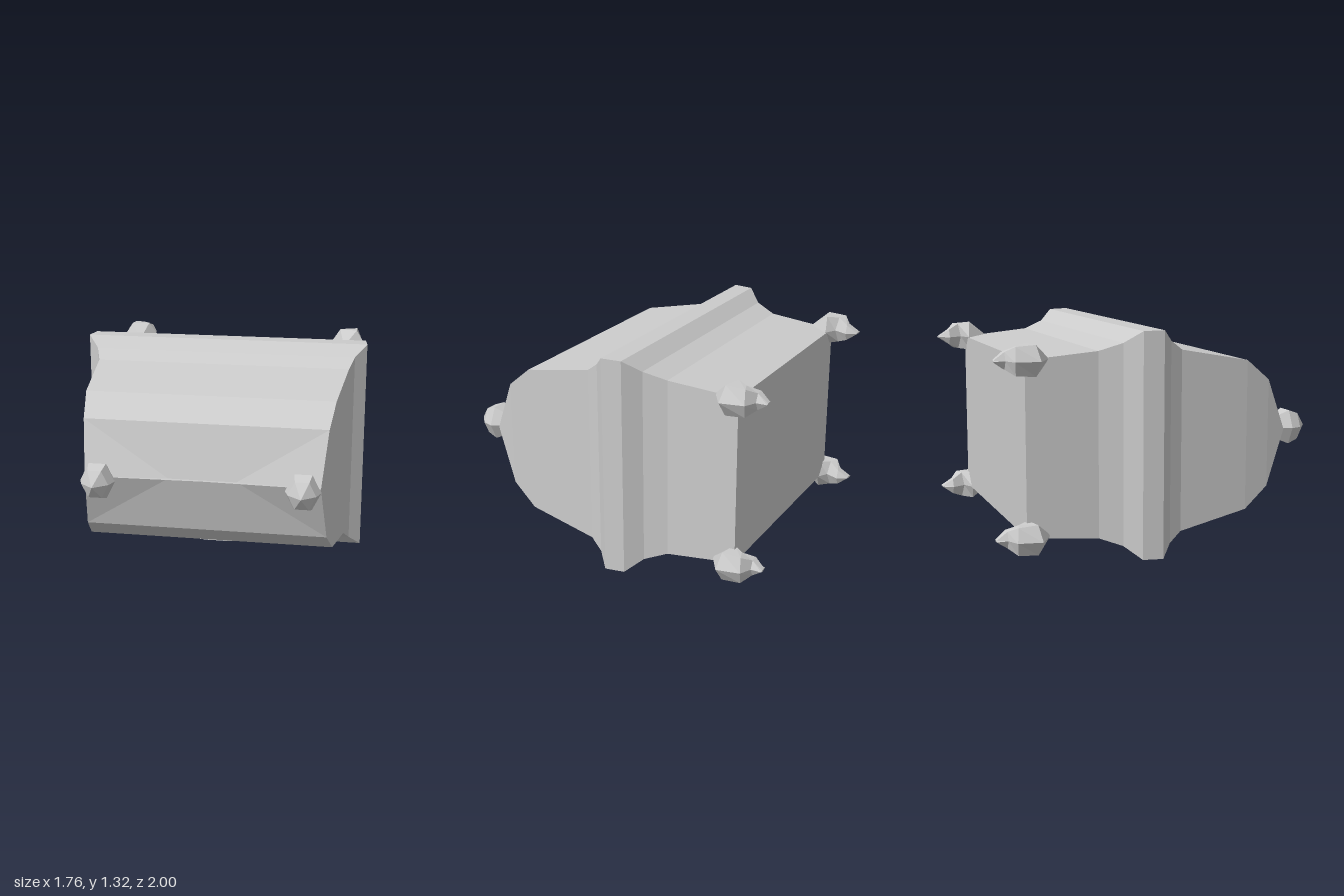
import * as THREE from 'three';

const material = new THREE.MeshStandardMaterial({ color: 0xcccccc, flatShading: true });

// Skin rings of points (ordered along +z, each counterclockwise from +z) and cap both ends
function loft(rings) {
  const n = rings[0].length;
  const pos = [];
  const mid = r => [0, 1, 2].map(k => r.reduce((s, p) => s + p[k], 0) / n);
  const first = rings[0], last = rings[rings.length - 1];
  const c0 = mid(first), c1 = mid(last);
  for (let j = 0; j < n; j++) {
    const k = (j + 1) % n;
    pos.push(...c0, ...first[k], ...first[j]);
    for (let i = 0; i < rings.length - 1; i++) {
      const a = rings[i], b = rings[i + 1];
      pos.push(...a[j], ...a[k], ...b[k], ...a[j], ...b[k], ...b[j]);
    }
    pos.push(...c1, ...last[j], ...last[k]);
  }
  const g = new THREE.BufferGeometry();
  g.setAttribute('position', new THREE.Float32BufferAttribute(pos, 3));
  g.computeVertexNormals();
  return g;
}

// Six-sided ring, tilted in z by hz across its width
function hexRing(cx, cz, hx, hy, hz = 0) {
  return Array.from({ length: 6 }, (_, i) => {
    const c = Math.cos(i * Math.PI / 3), s = Math.sin(i * Math.PI / 3);
    return [cx + hx * c, hy * s / 0.866, cz + hz * c];
  });
}

export function createModel() {
  const group = new THREE.Group();
  const add = (name, geometry, x = 0, y = 0, z = 0) => {
    const mesh = new THREE.Mesh(geometry, material);
    mesh.name = name;
    mesh.position.set(x, y, z);
    group.add(mesh);
    return mesh;
  };

  // Chest body, flange and lid: [z, half width, half height]
  const midY = 0.6575;
  const sections = [
    [-0.82, 0.71, 0.503], [-0.4, 0.735, 0.54], [-0.27, 0.785, 0.585],
    [-0.18, 0.865, 0.655], [-0.06, 0.88, 0.6575], [0.01, 0.81, 0.59],
    [0.09, 0.78, 0.533], [0.53, 0.74, 0.45], [0.685, 0.715, 0.325],
  ];
  const rings = sections.map(([z, w, h]) => [
    [w, midY - h, z], [w, midY + h, z], [w, midY + h, z], [-w, midY + h, z],
    [-w, midY + h, z], [-w, midY - h, z], [-w, midY - h, z], [w, midY - h, z],
  ]);
  // The lid closes in a horizontal ridge, slightly dented in the middle
  const e = [0.685, 0.67, 0.81], m = [0.2, 0.67, 0.77];
  const flip = p => [-p[0], p[1], p[2]];
  rings.push([e, e, m, flip(m), flip(e), flip(e), flip(m), m]);
  add('chest', loft(rings));

  for (const s of [-1, 1]) {
    // Hexagonal knobs on the lid ridge
    add('lidKnob', loft([
      hexRing(0, 0.795, 0.07, 0.07), hexRing(0, 0.87, 0.102, 0.103),
      hexRing(0, 0.935, 0.08, 0.08), hexRing(0, 1.0, 0, 0),
    ]), s * 0.59, 0.67, 0);

    // Claw feet at the back corners: [outer x, outer z, inner x, inner z, half height]
    const claw = [
      [0.74, -1.0, 0.68, -0.997, 0.005], [0.74, -0.935, 0.645, -0.935, 0.048],
      [0.81, -0.9, 0.68, -0.855, 0.08], [0.835, -0.76, 0.61, -0.815, 0.087],
      [0.705, -0.68, 0.7, -0.68, 0.001],
    ].map(([ox, oz, ix, iz, h]) =>
      hexRing(s * (ox + ix) / 2, (oz + iz) / 2, (ox - ix) / 2, h, s * (oz - iz) / 2));
    for (const y of [0.157, 1.163]) add('clawFoot', loft(claw), 0, y, 0);
  }

  // Faceted gems in a row under the body
  const gemProfile = [[0, -0.06], [0.11, -0.06], [0.175, -0.01], [0.175, 0.015], [0, 0.03]]
    .map(p => new THREE.Vector2(...p));
  for (const [x, z] of [[0.28, -0.45], [0, -0.475], [-0.27, -0.48]]) {
    const gem = add('gem', new THREE.LatheGeometry(gemProfile, 6, Math.PI / 2), x, 0.105, z);
    gem.scale.set(0.95, 1, 1.1);
    gem.rotation.x = 0.15;
  }

  // Oval lock plate hanging under the lid
  const plate = add('lockPlate', new THREE.CylinderGeometry(1, 1, 0.036, 8, 1, false, Math.PI / 8), 0, 0.083, 0.165);
  plate.scale.set(0.183, 1, 0.157);
  plate.rotation.x = -0.31;

  return group;
}
